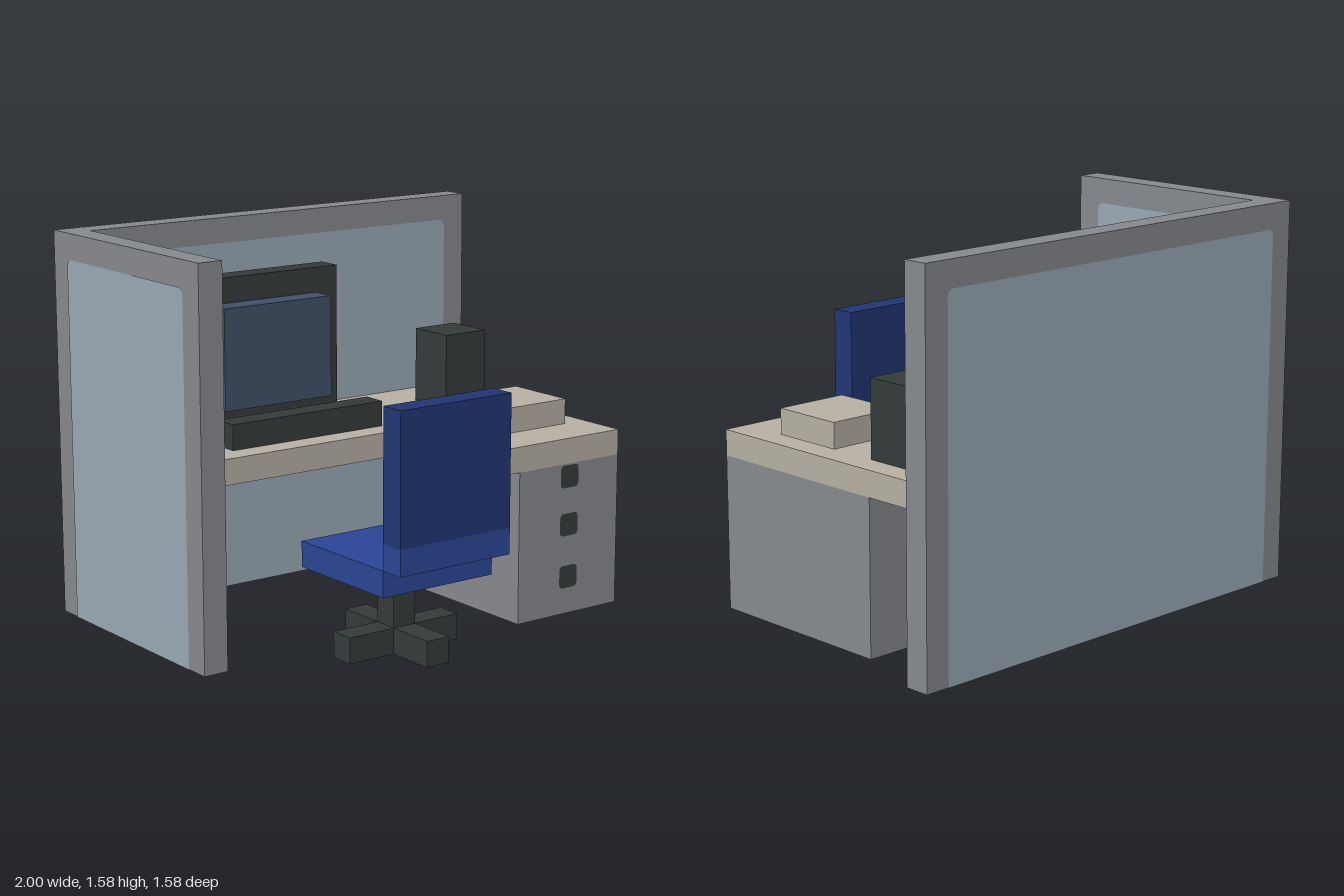
import * as THREE from 'three';

const U = 2 / 19; // block unit: every part sits on this lattice

const mat = (name, color) => {
  const m = new THREE.MeshStandardMaterial({ color });
  m.name = name;
  return m;
};

export function createModel() {
  const grey = mat('frame grey', 0x85888d);
  const fabric = mat('panel pale blue', 0x98a8b4);
  const tan = mat('desk tan', 0xb5afa3);
  const dark = mat('charcoal', 0x343a3a);
  const navy = mat('navy', 0x213573);
  const blue = mat('seat blue', 0x2b4594);
  const glass = mat('screen blue', 0x404f68);

  const model = new THREE.Group();
  model.name = 'officeCubicle';
  const group = (name) => {
    const g = new THREE.Group();
    g.name = name;
    model.add(g);
    return g;
  };

  // Box from ranges in block units
  const box = (parent, name, m, [x0, x1], [y0, y1], [z0, z1]) => {
    const mesh = new THREE.Mesh(new THREE.BoxGeometry((x1 - x0) * U, (y1 - y0) * U, (z1 - z0) * U), m);
    mesh.position.set((x0 + x1) * U / 2, (y0 + y1) * U / 2, (z0 + z1) * U / 2);
    mesh.name = name;
    parent.add(mesh);
  };

  // Thin face, origin at bottom centre, with corner radii [bl, br, tr, tl]
  const face = (parent, name, m, w, h, [bl, br, tr, tl], pos, turn) => {
    const s = new THREE.Shape();
    const a = w / 2;
    s.moveTo(-a + bl, 0);
    s.lineTo(a - br, 0);
    s.quadraticCurveTo(a, 0, a, br);
    s.lineTo(a, h - tr);
    s.quadraticCurveTo(a, h, a - tr, h);
    s.lineTo(-a + tl, h);
    s.quadraticCurveTo(-a, h, -a, h - tl);
    s.lineTo(-a, bl);
    s.quadraticCurveTo(-a, 0, -a + bl, 0);
    const mesh = new THREE.Mesh(new THREE.ShapeGeometry(s, 4), m);
    mesh.position.set(...pos);
    mesh.rotation.y = turn;
    mesh.name = name;
    parent.add(mesh);
  };

  // Partition walls with fabric panels on both sides
  const walls = group('partitionWalls');
  const e = 0.003, r = 0.03;
  box(walls, 'backWall', grey, [-9.5, 9.5], [0, 15], [-7.5, -6.5]);
  box(walls, 'sideWall', grey, [-9.5, -8.5], [0, 15], [-6.5, 2.5]);
  face(walls, 'backPanelInner', fabric, 17 * U, 14 * U, [0, 0, r, 0], [0, 0, -6.5 * U + e], 0);
  face(walls, 'backPanelOuter', fabric, 17 * U, 14 * U, [0, 0, r, r], [0, 0, -7.5 * U - e], Math.PI);
  face(walls, 'sidePanelInner', fabric, 8 * U, 14 * U, [0, 0, 0, r], [-8.5 * U + e, 0, -2.5 * U], Math.PI / 2);
  face(walls, 'sidePanelOuter', fabric, 8 * U, 14 * U, [0, 0, r, r], [-9.5 * U - e, 0, -2.5 * U], -Math.PI / 2);

  // L-shaped desk
  const desk = group('desk');
  box(desk, 'deskTop', tan, [-8.5, 8.5], [6, 7], [-6.5, -0.5]);
  box(desk, 'deskReturn', tan, [2.5, 8.5], [6, 7], [-0.5, 4.5]);
  box(desk, 'deskLegBack', dark, [-8.5, -7.5], [0, 6], [-6.5, -5.5]);
  box(desk, 'deskLegFront', dark, [-8.5, -7.5], [0, 6], [-1.5, -0.5]);

  // Drawer cabinet with three handles
  const cabinet = group('drawerCabinet');
  box(cabinet, 'cabinetBody', grey, [3.5, 8.5], [0, 6], [-3.5, 4.5]);
  for (const y of [0.11, 0.33, 0.532]) {
    face(cabinet, 'drawerHandle', dark, 0.094, 0.094, [0.02, 0.02, 0.02, 0.02], [6 * U, y, 4.5 * U + e], 0);
  }

  // Computer
  const computer = group('computer');
  box(computer, 'monitor', dark, [-5.5, 1.5], [7, 13], [-5.5, -4.5]);
  box(computer, 'monitorStand', dark, [-2.5, -1.5], [7, 9], [-6.5, -5.5]);
  box(computer, 'screen', glass, [-4.5, 0.5], [8, 12], [-4.5, -3.5]);
  box(computer, 'keyboard', dark, [-5.5, 1.5], [7, 8], [-2.5, -1.5]);

  // Things on the desk
  const clutter = group('deskItems');
  box(clutter, 'penHolder', dark, [5.5, 7.5], [7, 10], [-4.5, -2.5]);
  box(clutter, 'paperStack', tan, [4.5, 7.5], [7, 8], [-0.5, 2.5]);

  // Swivel chair on a cross base
  const chair = group('chair');
  box(chair, 'backrest', navy, [-4.5, 0.5], [5, 10], [6.5, 7.5]);
  box(chair, 'backrestLower', blue, [-4.5, 0.5], [4, 5], [6.5, 7.5]);
  box(chair, 'seat', blue, [-4.5, 0.5], [3, 4], [1.5, 6.5]);
  box(chair, 'stem', dark, [-2.5, -1.5], [1, 3], [3.5, 4.5]);
  box(chair, 'footAcross', dark, [-4.5, 0.5], [0, 1], [3.5, 4.5]);
  box(chair, 'footFront', dark, [-2.5, -1.5], [0, 1], [4.5, 6.5]);
  box(chair, 'footBack', dark, [-2.5, -1.5], [0, 1], [1.5, 3.5]);

  return model;
}
